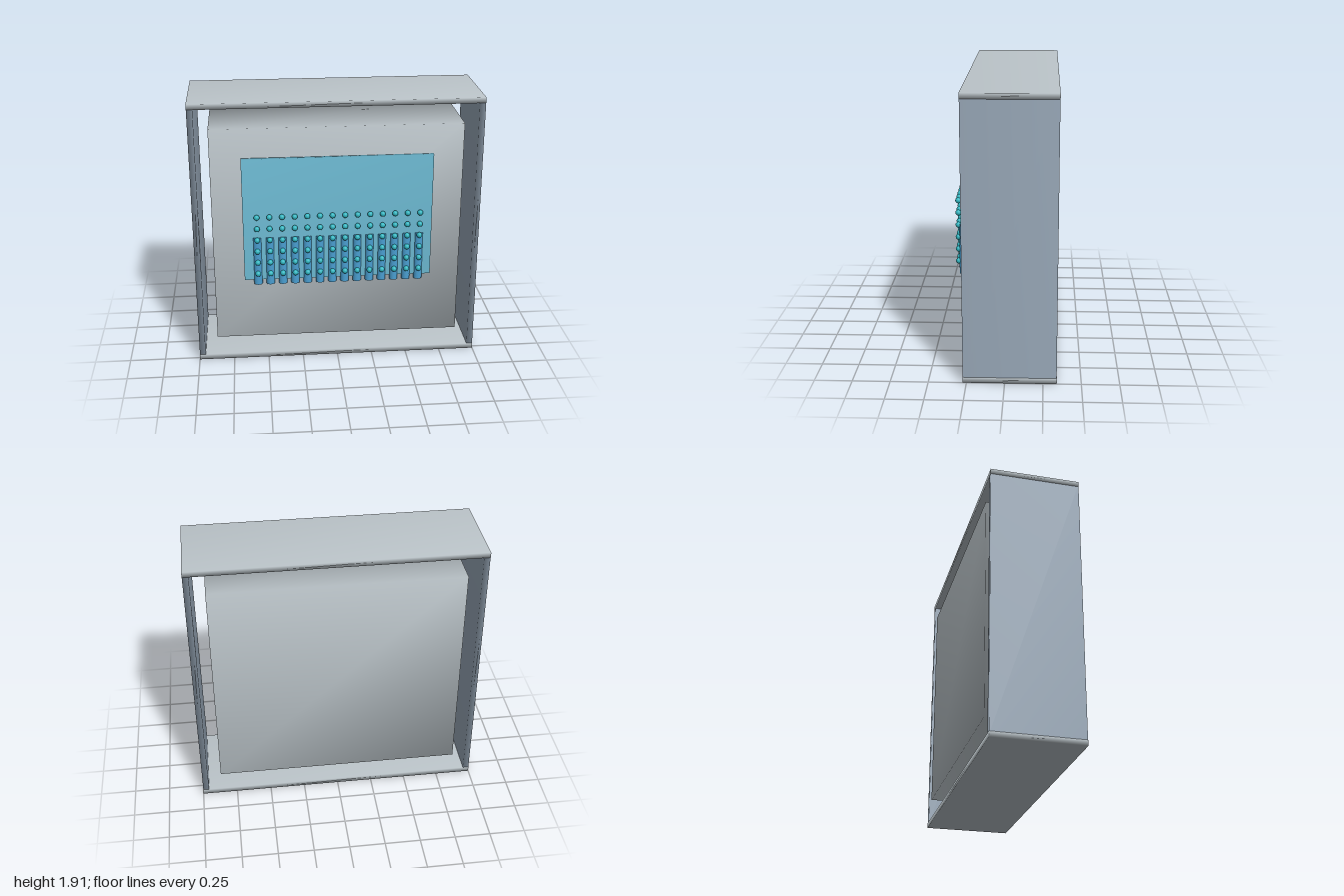
import * as THREE from 'three';
import { mergeVertices } from 'three/addons/utils/BufferGeometryUtils.js';

const material = (name, color) => {
  const m = new THREE.MeshStandardMaterial({ color });
  m.name = name;
  return m;
};

// Box with welded corners, so its shading runs softly over the edges
function softBox(x0, x1, y0, y1, z0, z1) {
  const box = new THREE.BoxGeometry(x1 - x0, y1 - y0, z1 - z0);
  box.deleteAttribute('normal');
  box.deleteAttribute('uv');
  const geometry = mergeVertices(box);
  geometry.computeVertexNormals();
  geometry.translate((x0 + x1) / 2, (y0 + y1) / 2, (z0 + z1) / 2);
  return geometry;
}

export function createModel() {
  const model = new THREE.Group();
  model.name = 'framedPanel';

  const paleGrey = material('pale grey', 0xbcc5ca);
  const blueGrey = material('blue grey', 0x9aaaba);
  const skyBlue = material('sky blue', 0x6fbdd6);
  const midBlue = material('mid blue', 0x4a9fd2);
  const teal = material('teal', 0x2fb5c0);

  const add = (name, geometry, mat, parent = model) => {
    const mesh = new THREE.Mesh(geometry, mat);
    mesh.name = name;
    parent.add(mesh);
    return mesh;
  };

  const back = -0.34, front = 0.275;

  // Open outer frame
  add('bottomRail', softBox(-1, 1, 0, 0.038, back, front), paleGrey);
  add('topRail', softBox(-1, 1, 1.872, 1.91, back, front), paleGrey);
  add('leftSide', softBox(0.957, 0.999, 0.02, 1.89, back + 0.001, front - 0.001), blueGrey);
  add('rightSide', softBox(-0.999, -0.957, 0.02, 1.89, back + 0.001, front - 0.001), blueGrey);

  // Solid block floating inside the frame, with a screen on its front
  add('centreBlock', softBox(-0.865, 0.862, 0.18, 1.735, back, front), paleGrey);
  add('screen', softBox(-0.655, 0.655, 0.638, 1.528, front - 0.01, 0.302), skyBlue);

  // Columns of upright bars with a grid of beads in front
  const bars = new THREE.Group();
  bars.name = 'bars';
  const beads = new THREE.Group();
  beads.name = 'beads';
  model.add(bars, beads);
  const barGeometry = new THREE.CylinderGeometry(0.03, 0.03, 0.35, 16);
  const beadGeometry = new THREE.SphereGeometry(0.02, 16, 12);
  for (let column = 0; column < 14; column++) {
    const x = -0.56 + column * 0.0868;
    add('bar', barGeometry, midBlue, bars).position.set(x, 0.78, 0.29);
    for (let row = 0; row < 6; row++) {
      add('bead', beadGeometry, teal, beads).position.set(x, 0.692 + row * 0.0845, 0.324);
    }
  }
  return model;
}
